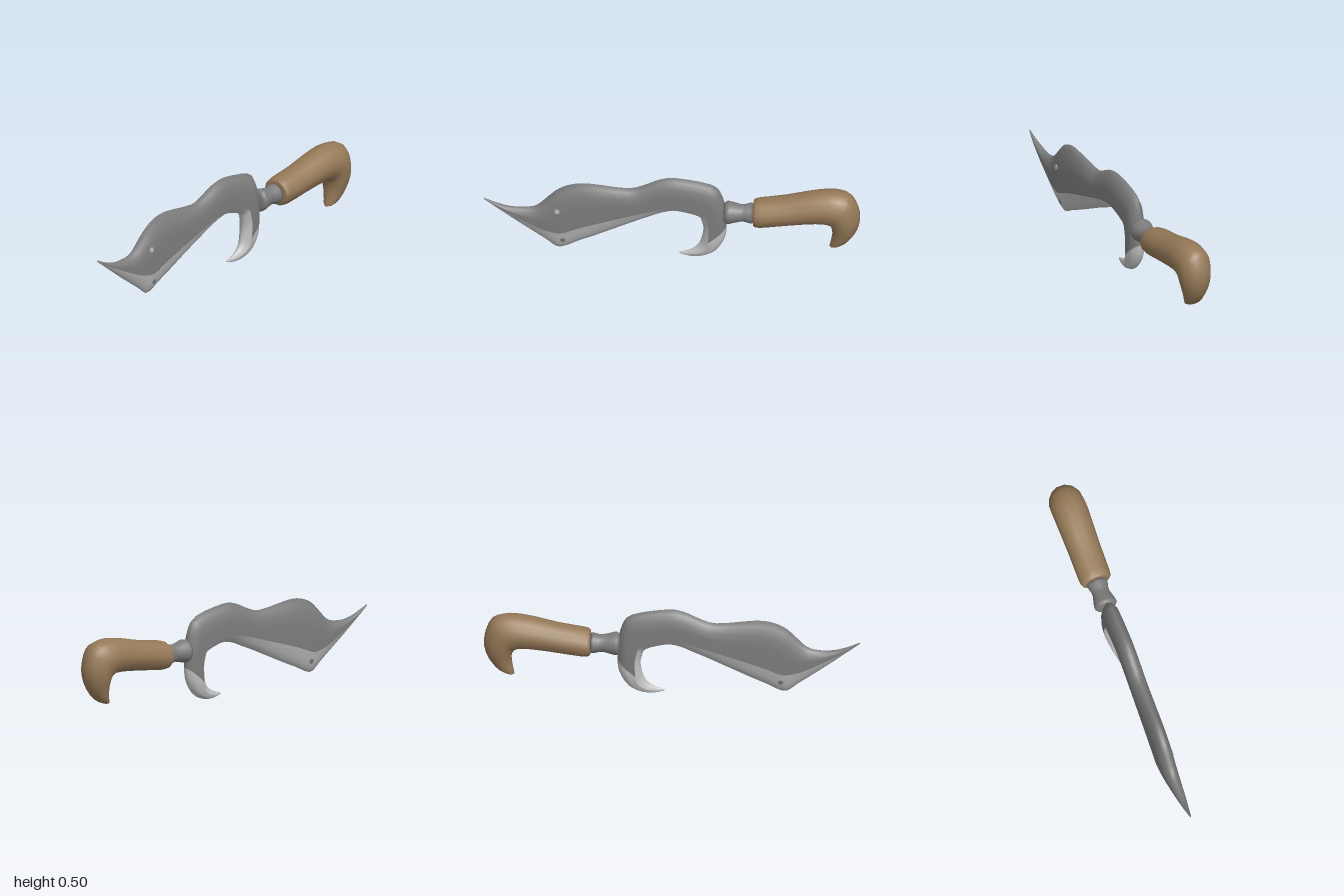
import * as THREE from 'three';

const steel = new THREE.MeshStandardMaterial({ color: 0x7c7c7c, side: THREE.DoubleSide });
steel.name = 'darkSteel';
const edgeSteel = new THREE.MeshStandardMaterial({ color: 0xc0c0c0, side: THREE.DoubleSide });
edgeSteel.name = 'polishedEdge';
const wood = new THREE.MeshStandardMaterial({ color: 0x967a58 });
wood.name = 'wood';

const { lerp } = THREE.MathUtils;

// Blade outlines as z,y points, paired from the tip round to the hook
const SPINE = [
  [1, .337], [.93, .305], [.86, .285], [.78, .285], [.715, .305], [.65, .37], [.6, .415],
  [.53, .445], [.44, .452], [.24, .43], [.15, .455], [.07, .492], [-.02, .506], [-.21, .47],
  [-.265, .4], [-.284, .3], [-.288, .2], [-.278, .125], [-.235, .05], [-.17, .012], [-.1, .003], [-.038, .016],
];
const BEVEL = [
  [1, .333], [.93, .288], [.85, .245], [.76, .2], [.68, .165], [.61, .15], [.57, .155],
  [.5, .185], [.4, .22], [.2, .285], [.12, .31], [.04, .327], [-.03, .33], [-.16, .295],
  [-.185, .25], [-.195, .19], [-.19, .115], [-.185, .08], [-.165, .053], [-.125, .03], [-.085, .02], [-.038, .021],
];
const EDGE = [
  [1, .328], [.93, .275], [.84, .205], [.74, .131], [.67, .08], [.615, .037], [.57, .04],
  [.5, .075], [.4, .12], [.2, .215], [.11, .255], [.04, .285], [-.03, .295], [-.135, .265],
  [-.158, .225], [-.165, .18], [-.157, .13], [-.143, .09], [-.12, .062], [-.09, .043], [-.065, .034], [-.038, .027],
];
const HOOK_START = 16;
const BLADE_END = SPINE.length - 1;

// Handle stations: top z,y / bottom z,y / half width
const HANDLE = [
  [-.43, .295, -.43, .295, 0],
  [-.43, .35, -.43, .24, .065],
  [-.437, .367, -.437, .225, .08],
  [-.47, .378, -.47, .22, .087],
  [-.6, .4, -.6, .238, .088],
  [-.72, .43, -.72, .253, .092],
  [-.83, .449, -.79, .256, .095],
  [-.9, .445, -.825, .248, .095],
  [-.955, .42, -.84, .235, .092],
  [-.988, .35, -.847, .21, .086],
  [-.998, .275, -.848, .185, .075],
  [-.972, .19, -.845, .155, .058],
  [-.92, .125, -.84, .125, .042],
  [-.87, .1, -.835, .102, .025],
  [-.852, .096, -.835, .096, 0],
];

// Skin over a list of cross-sections
function loft(rings, closed) {
  const n = rings[0].length, idx = [];
  for (let i = 0; i < rings.length - 1; i++) {
    for (let j = 0; j < (closed ? n : n - 1); j++) {
      const a = i * n + j, b = i * n + (j + 1) % n;
      idx.push(a, a + n, b, b, a + n, b + n);
    }
  }
  const g = new THREE.BufferGeometry();
  g.setAttribute('position', new THREE.Float32BufferAttribute(rings.flat(2), 3));
  g.setIndex(idx);
  g.computeVertexNormals();
  return g;
}

const spline = points => new THREE.SplineCurve(points.map(p => new THREE.Vector2(...p)));

// Strip of blade from bevel over a crest line to the other bevel, between two stations;
// profile pairs are [fraction from crest to bevel, thickness factor]
function bladeStrip(crestPoints, profile, side, from, to) {
  const crest = spline(crestPoints), bevel = spline(BEVEL), rings = [];
  const steps = (to - from) * 3;
  for (let k = 0; k <= steps; k++) {
    const s = lerp(from, to, k / steps);
    const c = crest.getPoint(s / BLADE_END), b = bevel.getPoint(s / BLADE_END);
    // Thickness swells over six stations from either tip
    const taper = Math.min(s / 6, (BLADE_END - s) / 6, 1);
    const w = .002 + .043 * Math.sin(taper * Math.PI / 2);
    const at = ([f, t], dir) => [dir * t * w, lerp(c.y, b.y, f), lerp(c.x, b.x, f)];
    rings.push([
      ...[...profile].reverse().map(p => at(p, side)),
      ...profile.slice(1).map(p => at(p, -side)),
    ]);
  }
  return loft(rings, false);
}

// Handle of oval sections, smoothed between stations
function handleGeometry() {
  const top = spline(HANDLE.map(r => [r[0], r[1]]));
  const bottom = spline(HANDLE.map(r => [r[2], r[3]]));
  const width = spline(HANDLE.map(r => [r[4], 0]));
  const steps = (HANDLE.length - 1) * 2, sides = 14;
  const rings = Array.from({ length: steps + 1 }, (_, k) => {
    const t = top.getPoint(k / steps), b = bottom.getPoint(k / steps);
    const w = Math.max(width.getPoint(k / steps).x, 0);
    return Array.from({ length: sides }, (_, j) => {
      const a = j / sides * Math.PI * 2, f = (1 + Math.sin(a)) / 2;
      return [Math.cos(a) * w, lerp(b.y, t.y, f), lerp(b.x, t.x, f)];
    });
  });
  return loft(rings, true);
}

export function createModel() {
  const model = new THREE.Group();
  const add = (name, geometry, material) => {
    const m = new THREE.Mesh(geometry, material);
    m.name = name;
    model.add(m);
    return m;
  };

  // Blade body, polished cutting edge and polished hook
  const spineProfile = [[0, 0], [.1, .45], [.3, .85], [.55, 1], [1, 1]];
  const edgeProfile = [[0, 0], [.2, .34], [.5, .68], [1, 1]];
  add('bladeBody', bladeStrip(SPINE, spineProfile, 1, 0, HOOK_START), steel);
  add('cuttingEdge', bladeStrip(EDGE, edgeProfile, -1, 0, BLADE_END), edgeSteel);
  add('hookBack', bladeStrip(SPINE, spineProfile, 1, HOOK_START, BLADE_END), edgeSteel);

  // Small round marks on the blade
  const dot = new THREE.CylinderGeometry(.014, .014, .006, 12);
  const bodyDot = add('bodyDot', dot, edgeSteel);
  bodyDot.position.set(.0415, .29, .61);
  bodyDot.rotation.z = -Math.PI / 2;
  for (const s of [1, -1]) {
    const edgeDot = add('edgeDot', dot, steel);
    edgeDot.position.set(s * .031, .1, .58);
    edgeDot.rotation.z = -s * (Math.PI / 2 + .28);
  }

  // Turned collar joining blade and handle
  const collar = [[0, 0], [.05, 0], [.062, .015], [.062, .03], [.054, .06], [.047, .09],
    [.048, .11], [.056, .14], [.054, .155], [0, .16]].map(p => new THREE.Vector2(...p));
  const collarMesh = add('collar', new THREE.LatheGeometry(collar, 16), steel);
  collarMesh.rotation.x = -Math.PI / 2;
  collarMesh.position.set(0, .293, -.275);

  // Handle with curled pommel
  add('handle', handleGeometry(), wood);

  return model;
}
